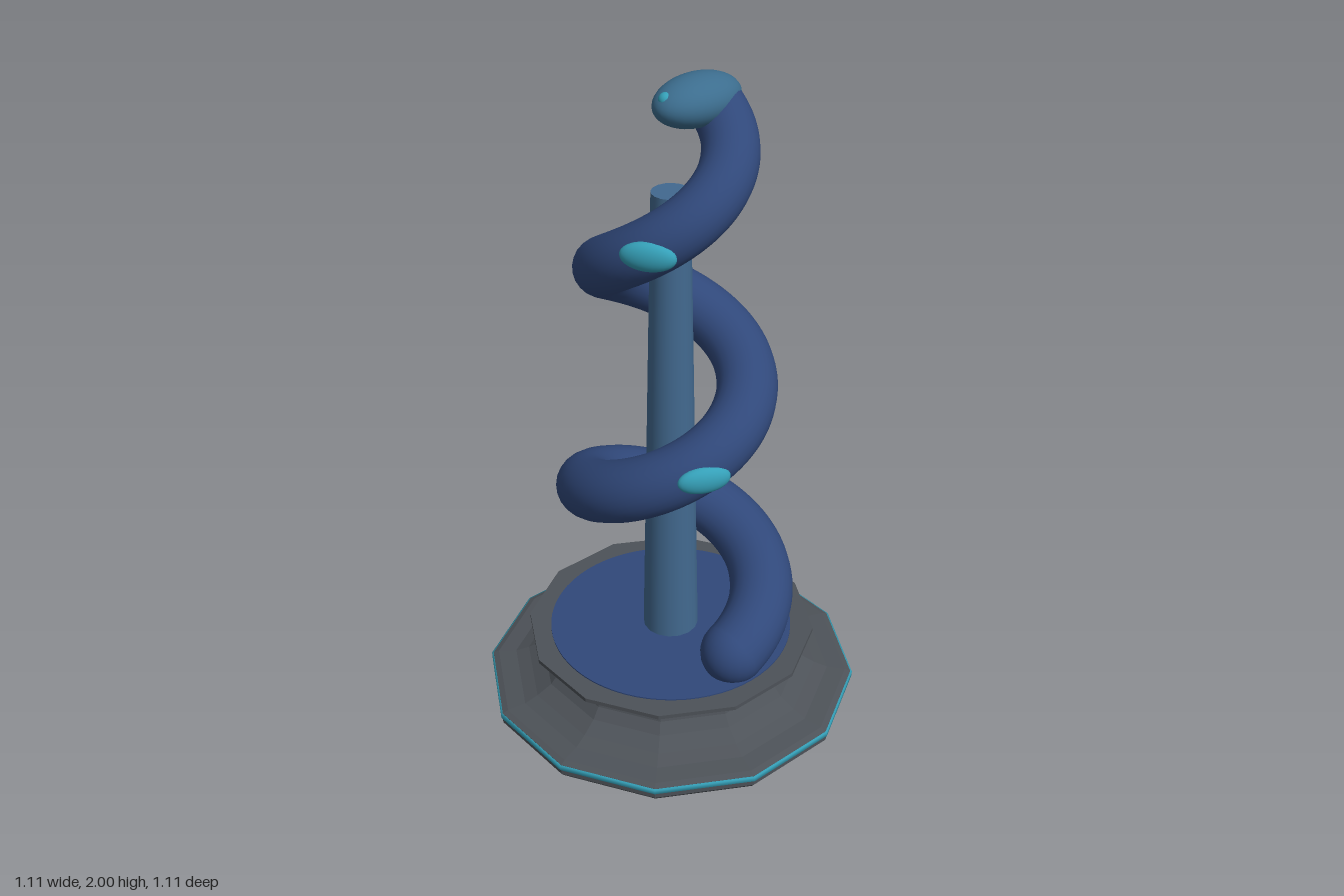
import * as THREE from 'three';

const mat = (name, color, flat = false) => {
  const m = new THREE.MeshStandardMaterial({ color });
  m.name = name;
  m.flatShading = flat;
  return m;
};

// Tapering coil: t runs 0..1 over 2.25 turns
const TURNS = 2.25;
const coilRadius = (t) => 0.288 - 0.136 * t;
const tubeRadius = (t) => 0.098 - 0.02 * t;
const coilAngle = (t) => t * TURNS * Math.PI * 2;
const coilPoint = (t, offset = 0) => {
  const a = coilAngle(t), r = coilRadius(t) + offset;
  return new THREE.Vector3(r * Math.cos(a), 0.275 + 1.63 * t, -r * Math.sin(a));
};

class CoilCurve extends THREE.Curve {
  getPoint(t, target = new THREE.Vector3()) {
    return target.copy(coilPoint(t));
  }
  getPointAt(t, target) {
    return this.getPoint(t, target);
  }
  getTangentAt(t, target) {
    return this.getTangent(t, target);
  }
}

export function createModel() {
  const group = new THREE.Group();
  const stone = mat('stoneGrey', 0x4d5258, true);
  const navy = mat('navyBlue', 0x30487a);
  const steel = mat('steelBlue', 0x42698f);
  const headBlue = mat('headBlue', 0x3c6d8e);
  const teal = mat('teal', 0x35a0b8);
  const rust = mat('rust', 0xa5532c);

  const add = (name, geo, material, x = 0, y = 0, z = 0) => {
    const mesh = new THREE.Mesh(geo, material);
    mesh.name = name;
    mesh.position.set(x, y, z);
    group.add(mesh);
    return mesh;
  };

  // Twelve-sided pedestal; profile radii are measured to the flat sides
  const ring = (name, profile, material) => {
    const points = profile.map(([r, y]) => new THREE.Vector2(r / Math.cos(Math.PI / 12), y));
    add(name, new THREE.LatheGeometry(points, 12), material).rotation.y = Math.PI / 12;
  };
  ring('pedestal', [
    [0, 0], [0.54, 0], [0.552, 0.015], [0.552, 0.05], [0.535, 0.057], [0.48, 0.063],
    [0.44, 0.08], [0.395, 0.108], [0.37, 0.14], [0.362, 0.17], [0.385, 0.195],
    [0.43, 0.205], [0.43, 0.218], [0, 0.218],
  ], stone);
  ring('pedestalTrim', [[0.55, 0.032], [0.557, 0.034], [0.557, 0.048], [0.55, 0.05]], teal);
  add('deck', new THREE.CylinderGeometry(0.375, 0.375, 0.008, 64), navy, 0, 0.218, 0);

  // Tapered centre pole
  add('pole', new THREE.CylinderGeometry(0.055, 0.085, 1.47, 16), steel, 0, 0.955, 0);

  // Coil body: a tube whose rings shrink toward the top
  const segments = 260, sides = 24;
  const body = new THREE.TubeGeometry(new CoilCurve(), segments, 1, sides, false);
  const pos = body.attributes.position, v = new THREE.Vector3();
  for (let i = 0; i < pos.count; i++) {
    const t = Math.floor(i / (sides + 1)) / segments;
    const c = coilPoint(t);
    v.fromBufferAttribute(pos, i).sub(c).multiplyScalar(tubeRadius(t)).add(c);
    pos.setXYZ(i, v.x, v.y, v.z);
  }
  add('coilBody', body, navy);
  [0, 1].forEach((t) => {
    const p = coilPoint(t);
    add('coilEnd', new THREE.SphereGeometry(tubeRadius(t), 24, 16), navy, p.x, p.y, p.z);
  });

  // Head at the top with a small gem at its front
  add('head', new THREE.SphereGeometry(1, 32, 20), headBlue, 0, 1.929, -0.092)
    .scale.set(0.088, 0.071, 0.14);
  add('headGem', new THREE.SphereGeometry(0.02, 16, 12), teal, 0, 1.956, 0.018);

  // Oval markings on the inner and outer sides of the coil
  [[0.205, rust], [0.416, teal], [0.616, rust], [0.822, teal]].forEach(([t, material]) => {
    [-1, 1].forEach((side) => {
      const p = coilPoint(t, side * tubeRadius(t) * 0.88);
      const spot = add('coilSpot', new THREE.SphereGeometry(1, 24, 16), material, p.x, p.y, p.z);
      spot.rotation.y = coilAngle(t);
      spot.scale.set(0.027, 0.042, side > 0 ? 0.078 : 0.06);
    });
  });

  return group;
}
